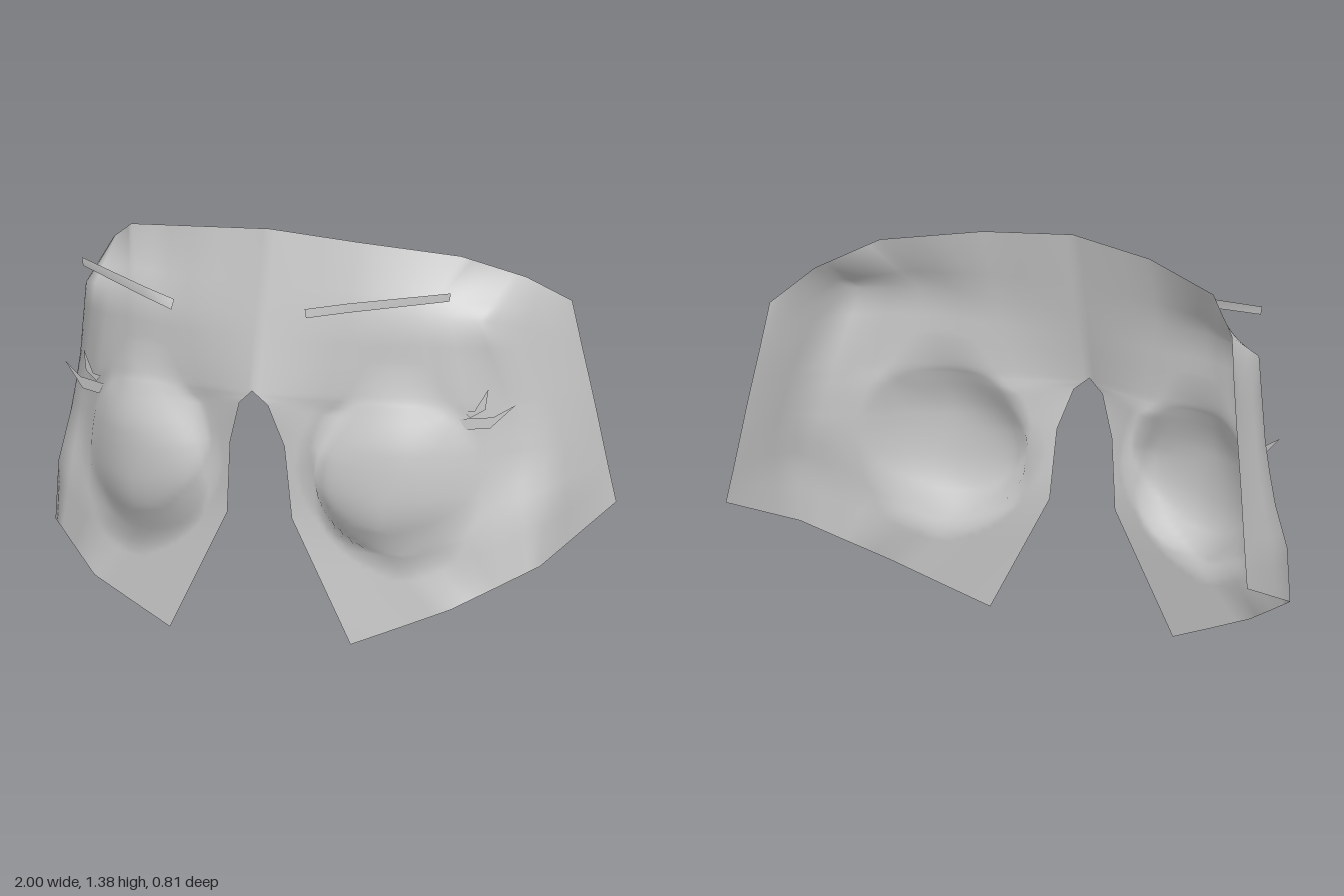
import * as THREE from 'three';

const material = new THREE.MeshStandardMaterial({ color: 0xcccccc, side: THREE.DoubleSide });
const { clamp, lerp } = THREE.MathUtils;

// Half of the sheet: rows run from the top edge to the bottom edge,
// each from the middle (or nose notch) out to the side edge.
const NET = [
  [[0, 1.38, 0.19], [0.32, 1.355, 0.145], [0.64, 1.315, 0.01], [0.72, 1.275, -0.07], [0.8, 1.235, -0.15], [0.89, 1.14, -0.3]],
  [[0, 1.1, 0.25], [0.31, 1.1, 0.21], [0.52, 1.12, 0.17], [0.66, 1.115, 0.115], [0.79, 1.11, 0.055], [0.915, 0.98, -0.325]],
  [[0, 0.845, 0.305], [0.25, 0.85, 0.235], [0.52, 0.85, 0.18], [0.71, 0.85, 0.1], [0.87, 0.85, -0.045], [0.937, 0.85, -0.345]],
  [[0.055, 0.8, 0.295], [0.25, 0.77, 0.225], [0.5, 0.75, 0.17], [0.72, 0.75, 0.09], [0.895, 0.75, -0.06], [0.95, 0.77, -0.357]],
  [[0.105, 0.66, 0.27], [0.28, 0.62, 0.22], [0.5, 0.6, 0.16], [0.75, 0.6, 0.075], [0.92, 0.64, -0.065], [0.965, 0.67, -0.372]],
  [[0.125, 0.415, 0.255], [0.3, 0.36, 0.225], [0.5, 0.33, 0.19], [0.73, 0.38, 0.12], [0.94, 0.48, -0.02], [0.982, 0.56, -0.388]],
  [[0.35, 0.005, 0.25], [0.52, 0.072, 0.21], [0.69, 0.14, 0.17], [0.815, 0.212, 0.085], [0.94, 0.285, 0], [1, 0.45, -0.405]],
];
const COLS = NET[0].length - 1;
const ROWS = NET.length - 1;
const STEPS = 14;

// Raised eye: a firm lower inner rim that melts into the brow and temple
function eyeBulge(x, y) {
  const dx = (x - 0.485) / 0.28;
  const dy = (y - 0.58) / (y > 0.58 ? 0.3 : 0.27);
  const r2 = dx * dx + dy * dy;
  if (r2 >= 1) return 0;
  const soft = clamp(Math.max(dy, dx) * 1.5, 0, 1);
  return 0.11 * Math.pow(1 - r2, lerp(0.6, 1.15, soft));
}

function netPoint(u, v) {
  const i = Math.min(Math.floor(u), COLS - 1), j = Math.min(Math.floor(v), ROWS - 1);
  const s = u - i, t = v - j;
  const [x, y, z] = [0, 1, 2].map((k) => lerp(
    lerp(NET[j][i][k], NET[j][i + 1][k], s),
    lerp(NET[j + 1][i][k], NET[j + 1][i + 1][k], s), t));
  return new THREE.Vector3(x, y, z + eyeBulge(x, y));
}

// Soft shading: the normal spans a wide stretch of the sheet
function netNormal(u, v) {
  const h = 0.35;
  const du = netPoint(Math.min(u + h, COLS), v).sub(netPoint(Math.max(u - h, 0), v));
  const dv = netPoint(u, Math.min(v + h, ROWS)).sub(netPoint(u, Math.max(v - h, 0)));
  const n = dv.cross(du);
  if (u === 0 && v <= 2) n.x = 0; // no seam down the forehead
  return n.normalize();
}

function sheetGeometry() {
  const cols = COLS * STEPS, rows = ROWS * STEPS;
  const positions = [], normals = [], index = [];
  for (let j = 0; j <= rows; j++) {
    for (let i = 0; i <= cols; i++) {
      positions.push(...netPoint(i / STEPS, j / STEPS));
      normals.push(...netNormal(i / STEPS, j / STEPS));
      if (i < cols && j < rows) {
        const a = j * (cols + 1) + i, b = a + cols + 1;
        index.push(a, b, a + 1, b, b + 1, a + 1);
      }
    }
  }
  const geometry = new THREE.BufferGeometry();
  geometry.setAttribute('position', new THREE.Float32BufferAttribute(positions, 3));
  geometry.setAttribute('normal', new THREE.Float32BufferAttribute(normals, 3));
  geometry.setIndex(index);
  return geometry;
}

// Thin ribbon between an upper and a lower line of points
function ribbonGeometry(upper, lower) {
  const positions = [], index = [];
  upper.forEach((p, i) => {
    positions.push(...p, ...lower[i]);
    const a = i * 2;
    if (i < upper.length - 1) index.push(a, a + 1, a + 2, a + 1, a + 3, a + 2);
  });
  const geometry = new THREE.BufferGeometry();
  geometry.setAttribute('position', new THREE.Float32BufferAttribute(positions, 3));
  geometry.setIndex(index);
  geometry.computeVertexNormals();
  return geometry;
}

// Flat lash that stands out from the corner of the eye
function lashGeometry(points) {
  const shape = new THREE.Shape(points.map(([x, y]) => new THREE.Vector2(x, y)));
  const geometry = new THREE.ShapeGeometry(shape);
  const pos = geometry.attributes.position;
  for (let i = 0; i < pos.count; i++) pos.setZ(i, 0.105 - 0.32 * (pos.getX(i) - 0.7));
  geometry.computeVertexNormals();
  return geometry;
}

export function createModel() {
  const group = new THREE.Group();
  const add = (name, geometry, side) => {
    const mesh = new THREE.Mesh(geometry, material);
    mesh.name = name;
    mesh.scale.x = side;
    group.add(mesh);
  };

  const sheet = sheetGeometry();
  const upperLash = lashGeometry([[0.705, 0.805], [0.725, 0.785], [0.775, 0.815], [0.785, 0.885], [0.755, 0.835], [0.74, 0.81]]);
  const lowerLash = lashGeometry([[0.69, 0.78], [0.71, 0.745], [0.79, 0.752], [0.875, 0.835], [0.8, 0.79], [0.74, 0.785]]);

  for (const side of [1, -1]) {
    const label = side > 0 ? 'left' : 'right';
    add(label + 'FaceHalf', sheet, side);
    add(label + 'UpperLash', upperLash, side);
    add(label + 'LowerLash', lowerLash, side);
  }

  // Brows float in front of the forehead; the right one leans out a little more
  add('leftBrow', ribbonGeometry(
    [[0.245, 1.155, 0.375], [0.38, 1.178, 0.325], [0.71, 1.223, 0.2]],
    [[0.25, 1.125, 0.375], [0.38, 1.147, 0.325], [0.705, 1.195, 0.2]]), 1);
  add('rightBrow', ribbonGeometry(
    [[0.255, 1.147, 0.385], [0.39, 1.175, 0.355], [0.71, 1.226, 0.22]],
    [[0.255, 1.115, 0.405], [0.39, 1.142, 0.36], [0.705, 1.198, 0.22]]), -1);

  return group;
}
